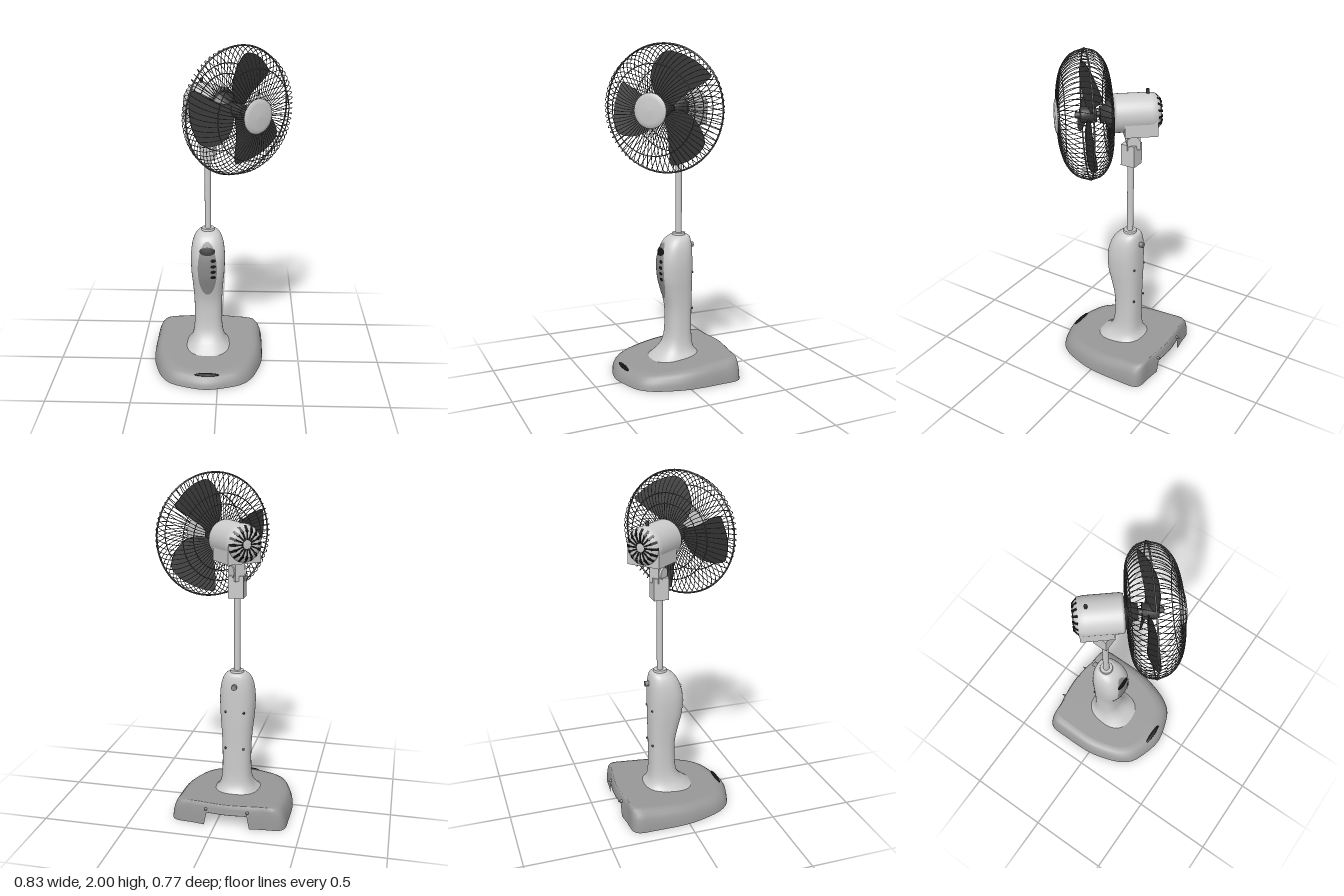
import * as THREE from 'three';

const V3 = (x, y, z) => new THREE.Vector3(x, y, z);
const mat = (color, side = THREE.FrontSide) => new THREE.MeshStandardMaterial({ color, side });
const light = mat(0xcccccc), grey = mat(0x999999, THREE.DoubleSide), panelMat = mat(0x8a8a8a);
const dark = mat(0x3a3a3a, THREE.DoubleSide), wire = mat(0x555555), black = mat(0x151515);
const CX = -0.07; // x of the stand's axis

function add(parent, name, geo, material, x = 0, y = 0, z = 0) {
  const m = new THREE.Mesh(geo, material);
  m.name = name;
  m.position.set(x, y, z);
  parent.add(m);
  return m;
}

// Skin over a stack of closed rings, with a fan over the last one
function loft(rings) {
  const n = rings[0].length, pos = [], idx = [];
  rings.forEach(r => r.forEach(p => pos.push(p.x, p.y, p.z)));
  for (let i = 0; i < rings.length - 1; i++) {
    for (let j = 0; j < n; j++) {
      const k = (j + 1) % n, a = i * n + j, b = i * n + k, c = a + n, d = b + n;
      idx.push(a, c, b, b, c, d);
    }
  }
  const top = rings[rings.length - 1], mid = V3(0, 0, 0);
  top.forEach(p => mid.addScaledVector(p, 1 / n));
  pos.push(mid.x, mid.y, mid.z);
  const o = (rings.length - 1) * n;
  for (let j = 0; j < n; j++) idx.push(o + n, o + (j + 1) % n, o + j);
  const g = new THREE.BufferGeometry();
  g.setAttribute('position', new THREE.Float32BufferAttribute(pos, 3));
  g.setIndex(idx);
  g.computeVertexNormals();
  return g;
}

// Hollow sloping base with a cable notch in the back wall
function makeBase(root) {
  const half = [[0, -0.372], [0.12, -0.362], [0.2, -0.35], [0.31, -0.337], [0.335, -0.31], [0.342, -0.2],
    [0.338, 0], [0.31, 0.12], [0.27, 0.22], [0.22, 0.28], [0.15, 0.315], [0, 0.35]];
  const pts = half.concat(half.slice(1, -1).reverse().map(([x, z]) => [-x, z]));
  const outline = new THREE.CatmullRomCurve3(pts.map(([x, z]) => V3(x, 0, z)), true).getSpacedPoints(160).slice(0, -1);
  const height = z => 0.135 - (z + 0.34) / 0.65 * 0.06;
  const levels = [[1, 0], [0.99, 0.3], [0.965, 0.58], [0.93, 0.8], [0.88, 0.95], [0.81, 1], [0.78, 1], [0.4, 1]];
  const rings = levels.map(([s, h]) => outline.map(p => {
    const z = -0.25 + (p.z + 0.25) * (1 - (1 - s) * 0.7);
    const notch = p.z < -0.3 && Math.abs(p.x) < 0.122 ? 0.08 : 0;
    return V3(CX + p.x * s, Math.max(height(z) * h, notch), z);
  }));
  add(root, 'base', loft(rings), grey);
  add(root, 'baseSlot', new THREE.SphereGeometry(1, 24, 10), black, CX + 0.005, 0.071, 0.297).scale.set(0.075, 0.009, 0.014);
  for (const s of [-1, 1]) {
    const nub = add(root, 'baseNub', new THREE.ConeGeometry(0.011, 0.03, 10), grey, CX + s * 0.123, 0.1, -0.366);
    nub.rotation.x = -Math.PI / 2;
  }
}

// Column: superellipse sections given as [y, half width, front z, back z]
function makeColumn(root) {
  const key = [[0.09, 0.15, 0.12, -0.22], [0.12, 0.122, 0.085, -0.18], [0.16, 0.1, 0.045, -0.155], [0.22, 0.088, 0.018, -0.146],
    [0.32, 0.085, 0.01, -0.145], [0.42, 0.087, 0.014, -0.145], [0.52, 0.094, 0.037, -0.147], [0.6, 0.101, 0.056, -0.148],
    [0.7, 0.104, 0.06, -0.148], [0.78, 0.096, 0.042, -0.146], [0.83, 0.08, 0.015, -0.14], [0.855, 0.06, -0.015, -0.132], [0.862, 0.045, -0.03, -0.12]];
  const curve = f => new THREE.CatmullRomCurve3(key.map(f), false, 'catmullrom').getPoints(48);
  const width = curve(k => V3(k[1], k[0], 0)), depth = curve(k => V3(k[2], k[0], k[3]));
  const N = 2.5, pw = v => Math.sign(v) * Math.abs(v) ** (2 / N);
  const secs = width.map((w, i) => ({ y: w.y, w: w.x, c: (depth[i].x + depth[i].z) / 2, d: (depth[i].x - depth[i].z) / 2 }));
  add(root, 'column', loft(secs.map(s => Array.from({ length: 48 }, (_, j) => {
    const a = j / 48 * Math.PI * 2;
    return V3(CX + s.w * pw(Math.cos(a)), s.y, s.c + s.d * pw(Math.sin(a)));
  }))), light);

  // Oval pieces that follow the column's front
  const frontZ = (x, y) => {
    const i = Math.max(1, secs.findIndex(s => s.y >= y)), a = secs[i - 1], b = secs[i];
    const t = (y - a.y) / (b.y - a.y), mix = k => a[k] + (b[k] - a[k]) * t;
    return mix('c') + mix('d') * Math.max(0, 1 - Math.abs(x / mix('w')) ** N) ** (1 / N);
  };
  const oval = (name, x, y, rx, ry, lift, m) => {
    const g = new THREE.RingGeometry(0, 1, 36, 10), p = g.attributes.position;
    for (let i = 0; i < p.count; i++) {
      const px = x + p.getX(i) * rx, py = y + p.getY(i) * ry;
      p.setXYZ(i, CX + px, py, frontZ(px, py) + lift);
    }
    g.computeVertexNormals();
    add(root, name, g, m);
  };
  oval('controlPanel', 0, 0.645, 0.058, 0.175, 0.003, panelMat);
  oval('display', 0, 0.765, 0.048, 0.024, 0.006, black);
  for (const y of [0.71, 0.673, 0.637, 0.6]) oval('button', 0.036, y, 0.016, 0.011, 0.007, black);

  // Back knob and screw holes
  const knob = add(root, 'backKnob', new THREE.CylinderGeometry(0.016, 0.016, 0.025, 20), panelMat, CX, 0.79, -0.155);
  knob.rotation.x = Math.PI / 2;
  for (const s of [-1, 1]) for (const y of [0.4, 0.63])
    add(root, 'screwHole', new THREE.SphereGeometry(0.007, 10, 8), dark, CX + s * 0.055, y, -0.139);
}

// Pole with collar, bracket and tilt neck
function makePole(root) {
  add(root, 'collar', new THREE.CylinderGeometry(0.038, 0.044, 0.03, 24), light, CX, 0.86, -0.072);
  add(root, 'pole', new THREE.CylinderGeometry(0.019, 0.019, 0.52, 24), light, CX, 1.1, -0.072);
  add(root, 'bracket', new THREE.BoxGeometry(0.088, 0.13, 0.088), light, CX, 1.375, -0.075);
  const neck = add(root, 'neck', new THREE.BoxGeometry(0.06, 0.14, 0.075), light, CX, 1.48, -0.085);
  neck.rotation.y = 0.7;
  const pivot = add(root, 'tiltPivot', new THREE.CylinderGeometry(0.036, 0.036, 0.08, 20), light, CX, 1.46, -0.08);
  pivot.rotation.set(0, 0.7, Math.PI / 2, 'YXZ');
}

const lathe = (pts, seg = 40) => // profile of [radius, z] turned about z
  new THREE.LatheGeometry(pts.map(([r, z]) => new THREE.Vector2(r, z)), seg).rotateX(Math.PI / 2);

function makeMotor(head) {
  add(head, 'motorHousing', lathe([[0, -0.41], [0.06, -0.408], [0.088, -0.398], [0.104, -0.38], [0.109, -0.35], [0.109, -0.155], [0.1, -0.14], [0, -0.138]]), light);
  add(head, 'motorUnderside', new THREE.BoxGeometry(0.205, 0.105, 0.185), light, 0, -0.058, -0.29);
  add(head, 'gearCollar', lathe([[0.085, -0.145], [0.085, -0.115], [0.05, -0.1], [0.045, -0.07], [0, -0.07]]), dark);
  add(head, 'oscillationKnob', new THREE.CylinderGeometry(0.009, 0.009, 0.03, 14), dark, 0, 0.12, -0.337);
  // Radial cooling slots in the rear
  for (let i = 0; i < 16; i++) {
    const pivot = new THREE.Group();
    pivot.name = 'coolingSlot';
    pivot.rotation.z = i / 16 * Math.PI * 2;
    add(pivot, 'slotInner', new THREE.BoxGeometry(0.009, 0.045, 0.004), black, 0, 0.047, -0.409);
    add(pivot, 'slotOuter', new THREE.BoxGeometry(0.014, 0.04, 0.006), black, 0, 0.086, -0.396).rotation.x = 0.78;
    head.add(pivot);
  }
}

function makeBlades(head) {
  const edge = [[0.01, 0.02], [-0.045, 0.085], [-0.065, 0.16], [-0.04, 0.25], [0.02, 0.315], [0.1, 0.308],
    [0.18, 0.268], [0.245, 0.212], [0.265, 0.18], [0.215, 0.14], [0.117, 0.08], [0.05, 0.02]];
  const shape = new THREE.Shape(new THREE.SplineCurve([...edge, edge[0]].map(([x, y]) => new THREE.Vector2(x, y))).getPoints(60).slice(0, -1));
  const blade = new THREE.ExtrudeGeometry(shape, { depth: 0.004, bevelEnabled: false });
  const p = blade.attributes.position, a = THREE.MathUtils.degToRad(62);
  for (let i = 0; i < p.count; i++) { // pitch about the blade's own centre line
    const t = p.getX(i) * Math.sin(a) - p.getY(i) * Math.cos(a);
    p.setZ(i, p.getZ(i) - 0.012 - 0.28 * t);
  }
  blade.computeVertexNormals();
  for (let i = 0; i < 3; i++) add(head, 'blade', blade, dark).rotation.z = i * Math.PI * 2 / 3;
  add(head, 'bladeHub', lathe([[0, -0.05], [0.045, -0.05], [0.045, 0.03], [0.035, 0.04], [0, 0.042]]), dark);
  add(head, 'spindle', lathe([[0, -0.1], [0.018, -0.1], [0.018, 0.065], [0, 0.07]], 16), dark);
}

// Wire cage: two domes of slightly swirling wires, tied by rings
function makeCage(head) {
  const front = [[0.36, 0.004], [0.335, 0.075], [0.27, 0.13], [0.18, 0.158], [0.085, 0.168]];
  const back = [[0.36, -0.004], [0.342, -0.06], [0.28, -0.108], [0.2, -0.125], [0.09, -0.13]];
  const count = 66;
  [[front, 'frontWire', 0.2], [back, 'backWire', -0.2]].forEach(([prof, name, swirl]) => {
    const path = new THREE.CatmullRomCurve3(prof.map(([r, z], i) => {
      const t = swirl * i / (prof.length - 1);
      return V3(r * Math.cos(t), r * Math.sin(t), z);
    }));
    const geo = new THREE.TubeGeometry(path, 14, 0.0021, 5);
    for (let i = 0; i < count; i++) add(head, name, geo, wire).rotation.z = i / count * Math.PI * 2;
  });
  for (const [r, z, t] of [[0.36, 0, 0.005], [0.252, 0.137, 0.003], [0.25, -0.116, 0.003], [0.19, -0.126, 0.003], [0.092, -0.13, 0.005]])
    add(head, 'cageRing', new THREE.TorusGeometry(r, t, 6, 72), wire, 0, 0, z);
  add(head, 'centreCap', lathe([[0, 0.158], [0.094, 0.158], [0.098, 0.166], [0.094, 0.174], [0.07, 0.18], [0, 0.184]]), light);
}

export function createModel() {
  const root = new THREE.Group();
  root.name = 'pedestalFan';
  makeBase(root);
  makeColumn(root);
  makePole(root);
  const head = new THREE.Group();
  head.name = 'fanHead';
  head.position.set(0.11, 1.635, 0.105);
  head.rotation.y = THREE.MathUtils.degToRad(40);
  makeMotor(head);
  makeBlades(head);
  makeCage(head);
  root.add(head);
  return root;
}
